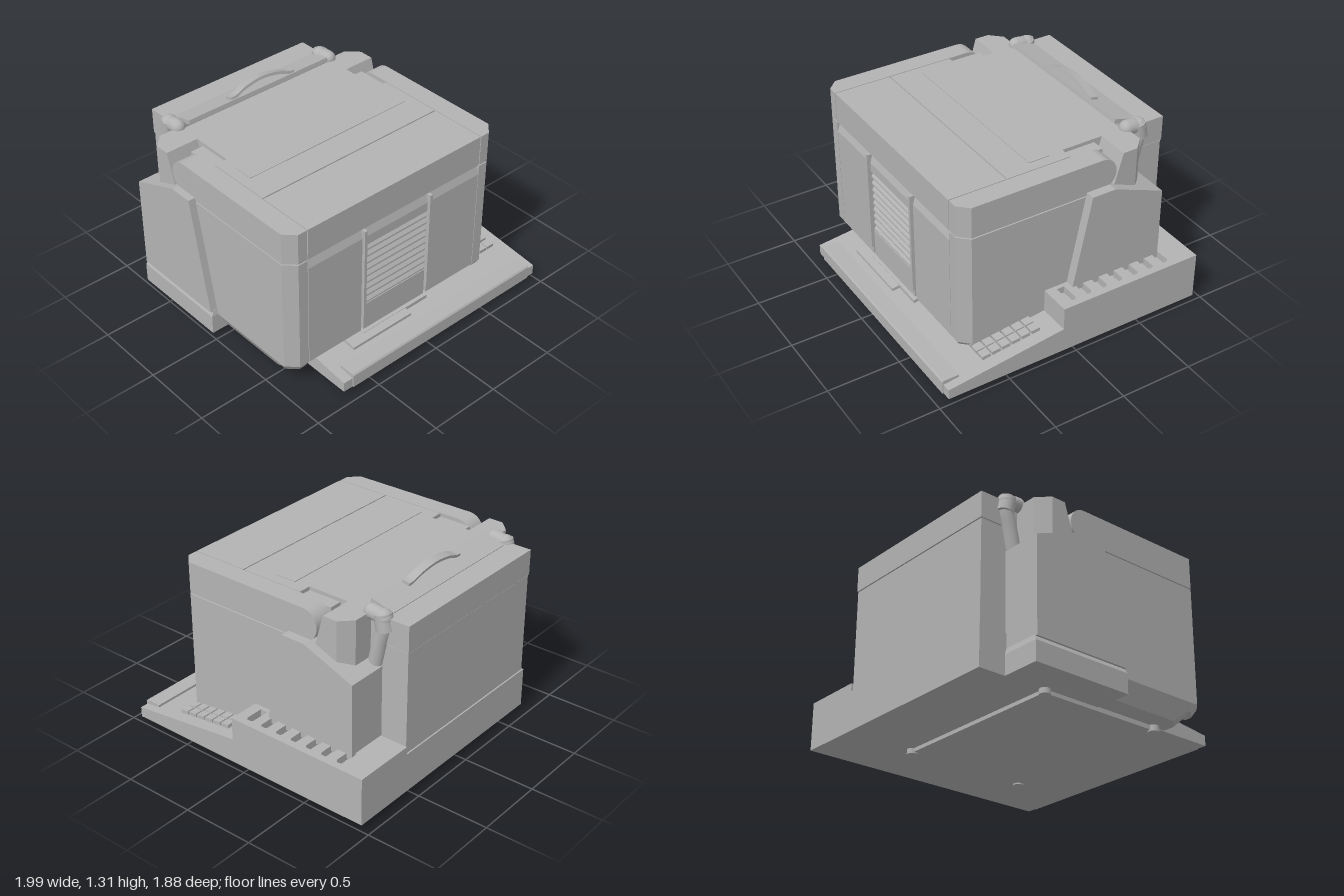
import * as THREE from 'three';

export function createModel() {
  const model = new THREE.Group();
  const grey = new THREE.MeshStandardMaterial({ name: 'warm grey plastic', color: 0xb3b3b3 });
  const CX = -0.09; // centre line of the body

  const add = (name, geo) => {
    const mesh = new THREE.Mesh(geo, grey);
    mesh.name = name;
    model.add(mesh);
    return mesh;
  };
  const box = (name, x0, x1, y0, y1, z0, z1) => add(name,
    new THREE.BoxGeometry(x1 - x0, y1 - y0, z1 - z0)
      .translate((x0 + x1) / 2, (y0 + y1) / 2, (z0 + z1) / 2));

  // profile of [z, y] points swept along x
  const prism = (name, pts, x0, x1) => {
    const shape = new THREE.Shape(pts.map(([z, y]) => new THREE.Vector2(-z, y)));
    return add(name, new THREE.ExtrudeGeometry(shape, { depth: x1 - x0, bevelEnabled: false })
      .rotateY(Math.PI / 2).translate(x0, 0, 0));
  };

  // stacked outlines of [x, z] points, each at its own height
  const loft = (name, levels) => {
    const rings = levels.map(([y, pts]) => {
      const r = pts.map(([x, z]) => new THREE.Vector3(x, y, z));
      const flat = pts.map(([x, z]) => new THREE.Vector2(x, -z));
      return THREE.ShapeUtils.isClockWise(flat) ? r.reverse() : r;
    });
    const v = [], n = rings[0].length;
    const tri = (...p) => p.forEach(q => v.push(q.x, q.y, q.z));
    for (let k = 0; k + 1 < rings.length; k++) {
      for (let i = 0; i < n; i++) {
        const j = (i + 1) % n, a = rings[k], b = rings[k + 1];
        tri(a[i], a[j], b[j]);
        tri(a[i], b[j], b[i]);
      }
    }
    const cap = (r, up) => THREE.ShapeUtils
      .triangulateShape(r.map(p => new THREE.Vector2(p.x, -p.z)), [])
      .forEach(([a, b, c]) => (up ? tri(r[a], r[b], r[c]) : tri(r[a], r[c], r[b])));
    cap(rings[0], false);
    cap(rings[rings.length - 1], true);
    const geo = new THREE.BufferGeometry();
    geo.setAttribute('position', new THREE.Float32BufferAttribute(v, 3));
    geo.computeVertexNormals();
    return add(name, geo);
  };

  // rectangle with cut corners: front cut f, rear cut r
  const outline = (x0, x1, z0, z1, f, r) => [
    [x0 + f, z1], [x1 - f, z1], [x1, z1 - f], [x1, z0 + r],
    [x1 - r, z0], [x0 + r, z0], [x0, z0 + r], [x0, z1 - f]];
  const slopeY = z => 0.31 - 0.121 * (z + 0.76); // height of the sloping deck

  // ---- sloping base with front lip ----
  prism('base', [[0.93, 0.035], [0.93, slopeY(0.93)], [-0.76, 0.31], [-0.94, 0.31], [-0.94, 0.035]], -0.73, 0.99);
  prism('frontLip', [[0.938, 0.035], [0.938, 0.125], [0.93, 0.135], [0.82, 0.135], [0.82, 0.035]], -0.66, 0.93);

  // ---- foot plate and corner feet ----
  box('footPlate', -0.74, 0.56, 0.01, 0.045, -0.46, 0.46);
  for (const x of [-0.735, 0.55]) {
    for (const z of [-0.45, 0.45]) {
      add('cornerFoot', new THREE.CylinderGeometry(0.036, 0.036, 0.045, 16).translate(x, 0.0225, z));
    }
  }

  // ---- raised step with a row of slots ----
  prism('step', [[0.095, 0.2], [0.095, 0.315], [-0.94, 0.315], [-0.94, 0.3], [-0.76, 0.3]], 0.555, 0.99);
  const deck = new THREE.Shape([[0.555, -0.095], [0.99, -0.095], [0.99, 0.94], [0.555, 0.94]]
    .map(p => new THREE.Vector2(...p)));
  for (let i = 0; i < 7; i++) {
    const s = 0.005 + i * 0.12;
    deck.holes.push(new THREE.Path([[0.8, s - 0.027], [0.8, s + 0.027], [0.925, s + 0.027],
      [0.94, s + 0.015], [0.94, s - 0.015], [0.925, s - 0.027]].map(p => new THREE.Vector2(...p))));
  }
  add('slottedDeck', new THREE.ExtrudeGeometry(deck, { depth: 0.05, bevelEnabled: false })
    .rotateX(-Math.PI / 2).translate(0, 0.315, 0));

  // ---- keypad and small front tray on the slope ----
  for (let c = 0; c < 3; c++) {
    for (let r = 0; r < 6; r++) {
      const z = 0.245 + r * 0.072;
      const key = add('key', new THREE.BoxGeometry(0.06, 0.05, 0.06));
      key.position.set(0.735 + c * 0.069, slopeY(z), z);
      key.rotation.x = 0.12;
    }
  }
  prism('tray', [[0.765, 0.11], [0.765, 0.145], [0.6, 0.172], [0.6, 0.12]], -0.5, 0);
  prism('trayBack', [[0.712, 0.11], [0.712, 0.157], [0.6, 0.172], [0.6, 0.12]], -0.37, 0.19);

  // ---- main body with tapered underside ----
  loft('body', [
    [0.04, outline(-0.88, 0.7, -0.65, 0.55, 0.07, 0.08)],
    [0.165, outline(-0.95, 0.77, -0.65, 0.66, 0.05, 0.08)],
    [0.97, outline(-0.95, 0.77, -0.65, 0.66, 0.05, 0.08)]]);

  // mirrored parts either side of the centre line
  for (const s of [-1, 1]) {
    const m = pts => pts.map(([d, z]) => [CX + s * d, z]);
    const post = m([[0.72, 0.695], [0.79, 0.695], [0.86, 0.625], [0.86, 0.55], [0.72, 0.55]]);
    const postLow = m([[0.72, 0.66], [0.77, 0.66], [0.83, 0.6], [0.83, 0.52], [0.72, 0.52]]);
    loft('frontCornerPost', [[0.115, postLow], [0.17, post], [0.97, post]]);

    // lid arm with rounded rear end
    const arm = m([[0.722, 0.695], [0.79, 0.695], [0.86, 0.625], [0.86, -0.31], [0.722, -0.31]]);
    loft('lidArm', [[0.978, arm], [1.195, arm]]);
    add('lidArmEnd', new THREE.CylinderGeometry(0.1085, 0.1085, 0.138, 40)
      .rotateZ(Math.PI / 2).translate(CX + s * 0.791, 1.0865, -0.31));

    // rear shoulder with slanted front
    const shoulder = z => m([[0.625, z], [0.86, z], [0.86, -0.57], [0.78, -0.65], [0.625, -0.65]]);
    loft('rearShoulder', [[0.96, shoulder(-0.4)], [1.195, shoulder(-0.467)]]);

    // inset beside the lid tongue
    const inner = m([[0.62, -0.17], [0.718, -0.17], [0.718, -0.41], [0.62, -0.41]]);
    loft('lidNotch', [[0.96, inner], [1.17, inner]]);

    // side tower
    const [x0, x1] = s < 0 ? [-1, -0.66] : [0.5, 0.835];
    const low = s < 0 ? 0.2 : 0.33;
    prism('sideTower', [[-0.2 + 0.2 * (1 - low), low], [-0.2, 1], [-0.37, 1], [-0.74, 0.855], [-0.74, low]], x0, x1);

    // bent tube carrying the handle plate
    const path = new THREE.CatmullRomCurve3([[0.87, -0.69], [1.0, -0.717], [1.12, -0.745], [1.175, -0.745], [1.195, -0.7], [1.2, -0.65]]
      .map(([y, z]) => new THREE.Vector3(CX + s * 0.635, y, z)));
    add('handleTube', new THREE.TubeGeometry(path, 32, 0.05, 20));
    const collar = add('tubeCollar', new THREE.CylinderGeometry(0.057, 0.057, 0.11, 24));
    collar.position.set(CX + s * 0.635, 1.16, -0.745);
    collar.rotation.x = 0.2;
    add('tubeElbow', new THREE.SphereGeometry(0.057, 24, 16).translate(CX + s * 0.635, 1.185, -0.743));
    add('tubeEnd', new THREE.SphereGeometry(0.05, 20, 12).translate(CX + s * 0.635, 1.198, -0.655));
  }
  loft('leftTowerBase', [
    [0.035, [[-1, -0.03], [-0.7, -0.03], [-0.7, -0.75], [-1, -0.75]]],
    [0.17, [[-1, -0.03], [-0.7, -0.03], [-0.7, -0.75], [-1, -0.75]]],
    [0.21, [[-0.98, -0.04], [-0.7, -0.04], [-0.7, -0.74], [-0.98, -0.74]]]]);

  // ---- lid ----
  box('lidFront', -0.806, 0.626, 0.978, 1.195, 0.295, 0.695);
  box('lidMiddle', -0.806, 0.626, 0.978, 1.195, -0.17, 0.286);
  box('lidGroove', -0.806, 0.626, 0.978, 1.185, 0.28, 0.3);
  box('lidTongue', -0.715, 0.54, 0.96, 1.195, -0.62, -0.17);
  box('lidStrip', -0.735, 0.555, 1.193, 1.2, -0.065, 0.085);

  // ---- front doors and louvre ----
  const door = [[0.64, 0.17], [0.695, 0.17], [0.695, 0.905], [0.675, 0.97], [0.64, 0.97]];
  prism('leftDoor', door, 0.195, 0.626);
  prism('rightDoor', door, -0.806, -0.375);
  prism('louvreLowerPanel', [[0.64, 0.17], [0.695, 0.17], [0.695, 0.37], [0.64, 0.37]], -0.355, 0.175);
  prism('louvreUpperPanel', [[0.64, 0.84], [0.695, 0.84], [0.695, 0.905], [0.675, 0.97], [0.64, 0.97]], -0.355, 0.175);
  for (const x of [-0.365, 0.185]) box('louvreRail', x - 0.01, x + 0.01, 0.24, 0.97, 0.65, 0.718);
  for (let i = 0; i < 9; i++) {
    const y = 0.373 + i * 0.0522;
    prism('louvreSlat', [[0.65, y], [0.692, y], [0.692, y + 0.012], [0.668, y + 0.047], [0.65, y + 0.047]], -0.355, 0.175);
  }

  // ---- rear housing ----
  box('rearHousing', -0.72, 0.55, 0.3, 1.012, -0.93, -0.6);
  box('rearHousingTop', -0.725, 0.555, 1.018, 1.195, -0.935, -0.655);
  box('rearSeam', -0.715, 0.545, 1.0, 1.03, -0.925, -0.66);

  // ---- handle plate and grip ----
  prism('handlePlate', [[-0.6, 1.215], [-0.605, 1.245], [-0.77, 1.2], [-0.765, 1.17]], -0.67, 0.49);
  const arc = new THREE.SplineCurve([[-0.265, 0], [-0.22, 0.004], [-0.13, 0.035], [0, 0.052], [0.13, 0.035], [0.22, 0.004], [0.265, 0]]
    .map(p => new THREE.Vector2(...p))).getPoints(40);
  const grip = new THREE.Shape([...arc, ...arc.map(p => new THREE.Vector2(p.x, p.y - 0.02)).reverse()]);
  const handle = add('handleGrip', new THREE.ExtrudeGeometry(grip, { depth: 0.055, bevelEnabled: false }).translate(0, 0, -0.0275));
  handle.position.set(-0.055, 1.252, -0.648);
  handle.rotation.x = -0.2;

  return model;
}
